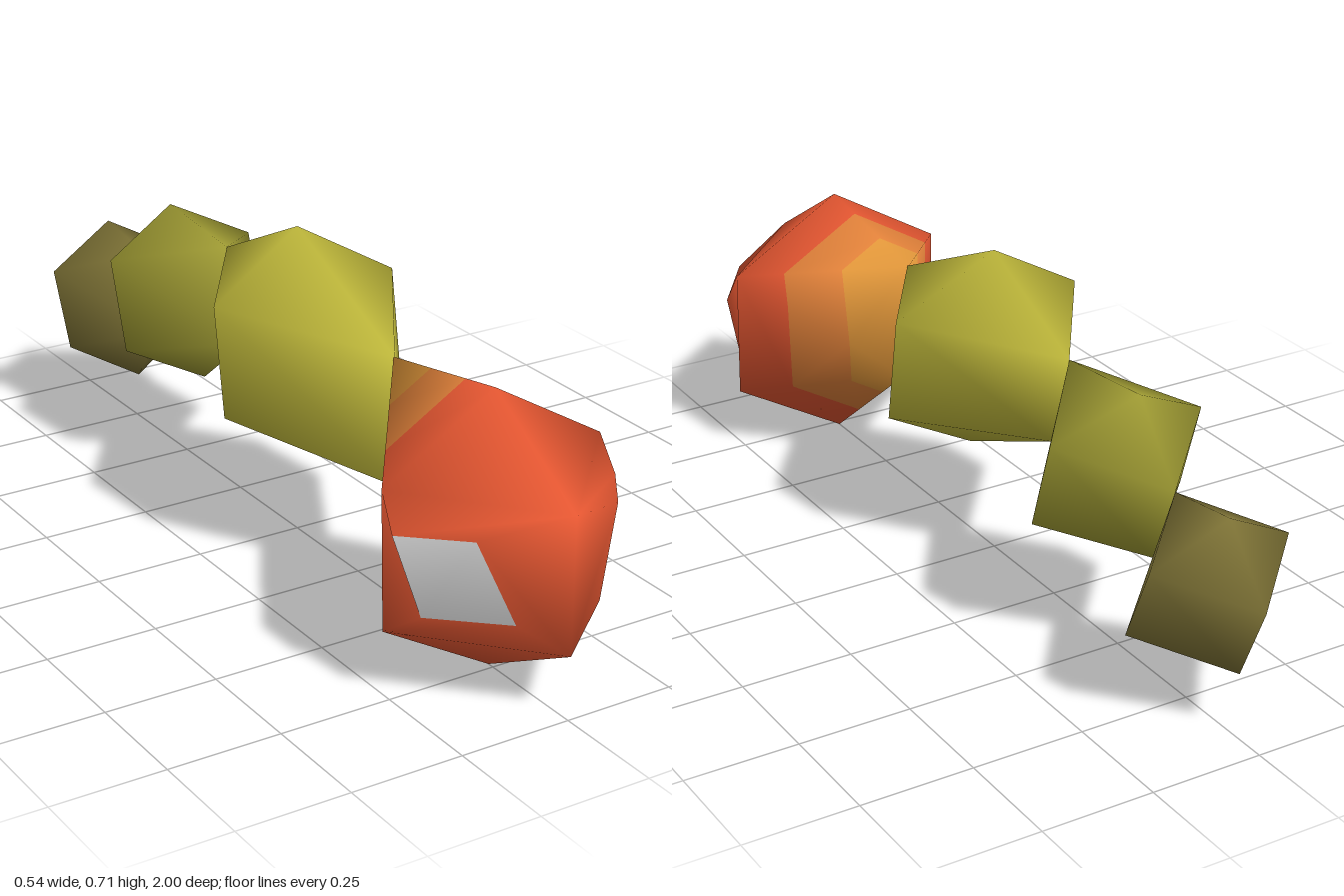
import * as THREE from 'three';

const paint = (name, color) => {
  const m = new THREE.MeshStandardMaterial({ color });
  m.name = name;
  return m;
};

// Corners of a four-sided bead: top pole, upper ring, lower ring, bottom pole.
// Each ring runs front, left, back, right. Points are given as [z, y].
function beadPoints({ top, bottom, front, back, side, half }) {
  const ring = i => [
    [0, front[i][1], front[i][0]], [half, side[i][1], side[i][0]],
    [0, back[i][1], back[i][0]], [-half, side[i][1], side[i][0]],
  ];
  return [[0, top[1], top[0]], ...ring(0), ...ring(1), [0, bottom[1], bottom[0]]];
}

// Quads of side k between the rings, and the pole triangles above and below
const sideQuad = k => [1 + k, 1 + (k + 1) % 4, 5 + (k + 1) % 4, 5 + k];
const poleTris = k => [[0, 1 + k, 1 + (k + 1) % 4], [9, 5 + k, 5 + (k + 1) % 4]];
const splitQuad = ([a, b, c, d]) => [[a, b, c], [a, c, d]];

// Smooth indexed geometry; every triangle is turned to face away from the centre
function smoothShell(points, tris) {
  const v = points.map(p => new THREE.Vector3(...p));
  const centre = v[0].clone().add(v[9]).multiplyScalar(0.5);
  const index = tris.flatMap(([a, b, c]) => {
    const n = v[b].clone().sub(v[a]).cross(v[c].clone().sub(v[a]));
    const out = v[a].clone().add(v[b]).add(v[c]).divideScalar(3).sub(centre);
    return n.dot(out) < 0 ? [a, c, b] : [a, b, c];
  });
  const g = new THREE.BufferGeometry();
  g.setAttribute('position', new THREE.Float32BufferAttribute(points.flat(), 3));
  g.setIndex(index);
  g.computeVertexNormals();
  return g;
}

// Keep the half of a polygon where sign * (z - cut) >= 0; corners are [x,y,z,nx,ny,nz]
function clip(poly, cut, sign) {
  const out = [];
  poly.forEach((a, i) => {
    const b = poly[(i + 1) % poly.length];
    const da = sign * (a[2] - cut), db = sign * (b[2] - cut);
    if (da >= 0) out.push(a);
    if (da * db < 0) out.push(a.map((x, j) => x + (b[j] - x) * da / (da - db)));
  });
  return out;
}

// The slice of a shell between two z planes, keeping its smooth normals
function slice(g, first, count, zMin, zMax) {
  const P = g.attributes.position, N = g.attributes.normal, pos = [], nor = [];
  for (let i = first; i < first + count; i += 3) {
    let poly = [0, 1, 2].map(j => {
      const k = g.index.getX(i + j);
      return [P.getX(k), P.getY(k), P.getZ(k), N.getX(k), N.getY(k), N.getZ(k)];
    });
    poly = clip(clip(poly, zMin, 1), zMax, -1);
    for (let j = 1; j < poly.length - 1; j++) {
      for (const c of [poly[0], poly[j], poly[j + 1]]) {
        pos.push(...c.slice(0, 3));
        nor.push(...c.slice(3));
      }
    }
  }
  const s = new THREE.BufferGeometry();
  s.setAttribute('position', new THREE.Float32BufferAttribute(pos, 3));
  s.setAttribute('normal', new THREE.Float32BufferAttribute(nor, 3));
  return s;
}

export function createModel() {
  const model = new THREE.Group();
  model.name = 'segmentedGrub';
  const add = (parent, name, geometry, material) => {
    const m = new THREE.Mesh(geometry, material);
    m.name = name;
    parent.add(m);
  };

  // Body beads, each meeting the next along a shared edge
  const beads = [
    ['frontBody', paint('yellow olive', 0xbdb63a), {
      top: [0, 0.715], bottom: [0.1, 0.22], half: 0.225,
      front: [[0.38, 0.545], [0.405, 0.26]], back: [[-0.3, 0.575], [-0.235, 0.36]],
      side: [[0.03, 0.585], [0.07, 0.345]] }],
    ['middleBody', paint('olive', 0x9c9832), {
      top: [-0.56, 0.6], bottom: [-0.41, 0.22], half: 0.183,
      front: [[-0.3, 0.575], [-0.235, 0.36]], back: [[-0.69, 0.44], [-0.62, 0.26]],
      side: [[-0.515, 0.51], [-0.45, 0.31]] }],
    ['tail', paint('brown olive', 0x7c7135), {
      top: [-0.875, 0.465], bottom: [-0.735, 0.11], half: 0.166,
      front: [[-0.69, 0.44], [-0.62, 0.26]], back: [[-1, 0.315], [-0.925, 0.145]],
      side: [[-0.845, 0.375], [-0.77, 0.205]] }],
  ];
  for (const [name, material, spec] of beads) {
    const tris = [0, 1, 2, 3].flatMap(k => [...splitQuad(sideQuad(k)), ...poleTris(k)]);
    add(model, name, smoothShell(beadPoints(spec), tris), material);
  }

  // Head: the same bead with a raised eye set into each front face
  const points = beadPoints({
    top: [0.73, 0.605], bottom: [0.735, 0], half: 0.262,
    front: [[1, 0.44], [1, 0.14]], back: [[0.375, 0.545], [0.405, 0.26]],
    side: [[0.73, 0.45], [0.74, 0.15]],
  });
  const eye = [[0.168, 0.392, 0.913], [0.268, 0.375, 0.777], [0.222, 0.202, 0.812], [0.1, 0.215, 0.955]];
  const skin = [0, 1, 2, 3].flatMap(poleTris);
  skin.push(...splitQuad(sideQuad(1)), ...splitQuad(sideQuad(2)));
  const eyeTris = [];
  for (const s of [1, -1]) {
    const base = points.length;
    points.push(...eye.map(([x, y, z]) => [s * x, y, z]));
    const outer = s > 0 ? [1, 2, 6, 5] : [1, 4, 8, 5];
    const inner = [0, 1, 2, 3].map(i => base + i);
    for (let i = 0; i < 4; i++) {
      const j = (i + 1) % 4;
      skin.push(...splitQuad([outer[i], outer[j], inner[j], inner[i]]));
    }
    eyeTris.push(...splitQuad(inner));
  }
  const shell = smoothShell(points, [...skin, ...eyeTris]);
  const head = new THREE.Group();
  head.name = 'head';
  model.add(head);

  // Face and the two neck bands
  const n = skin.length * 3;
  add(head, 'face', slice(shell, 0, n, 0.63, 2), paint('red', 0xe45631));
  add(head, 'outerNeckBand', slice(shell, 0, n, 0.51, 0.63), paint('orange', 0xdf8039));
  add(head, 'innerNeckBand', slice(shell, 0, n, -2, 0.51), paint('amber', 0xdf9539));

  // Eyes
  const white = paint('pale grey', 0xd2d2d2);
  add(head, 'leftEye', slice(shell, n, 6, -2, 2), white);
  add(head, 'rightEye', slice(shell, n + 6, 6, -2, 2), white);
  return model;
}
